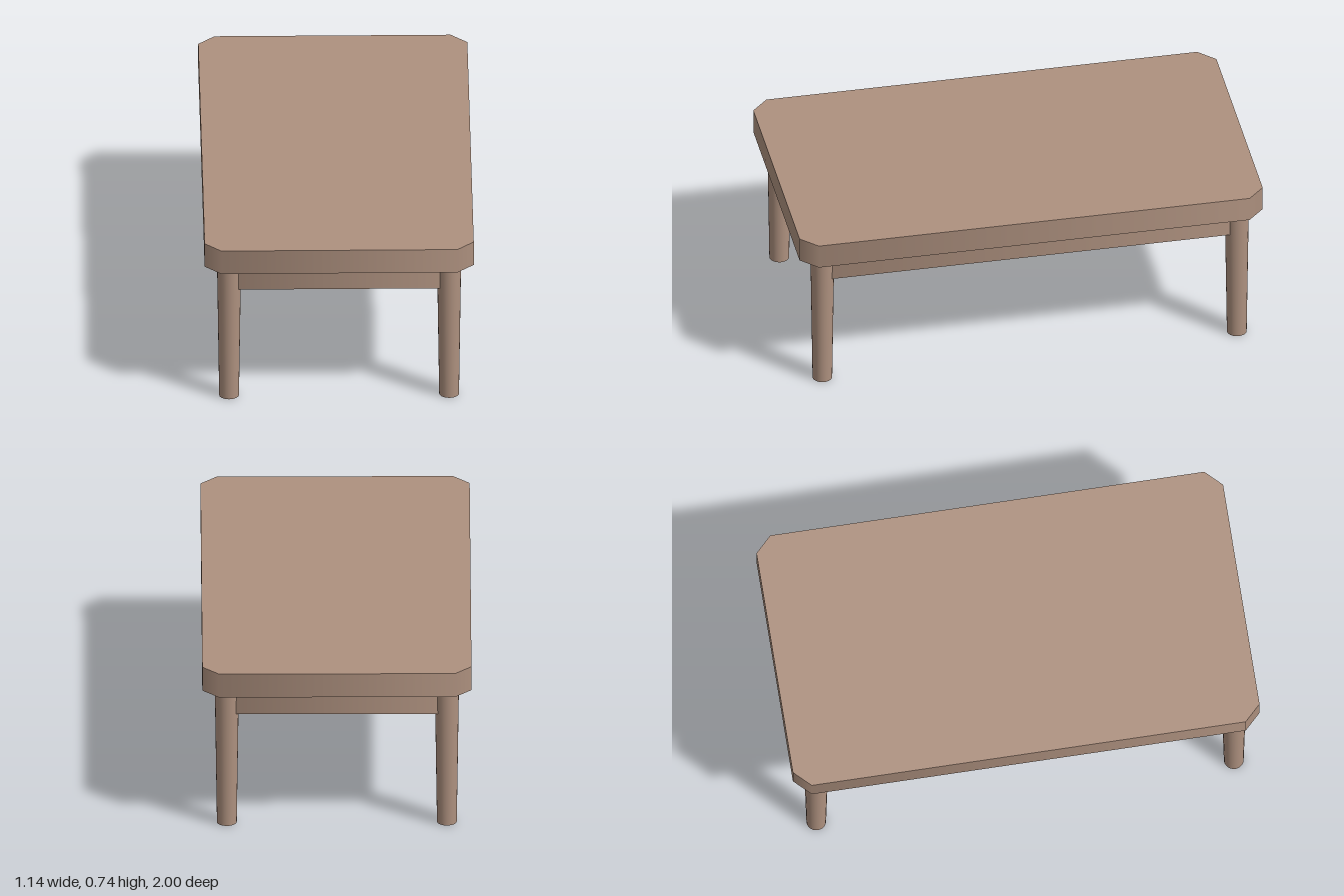
import * as THREE from 'three';

const wood = new THREE.MeshStandardMaterial({ color: 0xae917f });
wood.name = 'wood';

// Slab with clipped corners and softly shaded sides: an eight-sided
// cylinder whose corners are moved onto the rectangular outline.
function clippedSlab(name, halfX, halfZ, clip, y0, y1) {
  const geo = new THREE.CylinderGeometry(1, 1, y1 - y0, 8, 1, false, Math.PI / 8);
  const pos = geo.attributes.position;
  const place = (v, half) =>
    Math.abs(v) < 0.1 ? 0 : Math.sign(v) * (Math.abs(v) > 0.6 ? half : half - clip);
  for (let i = 0; i < pos.count; i++) {
    pos.setX(i, place(pos.getX(i), halfX));
    pos.setZ(i, place(pos.getZ(i), halfZ));
  }
  const mesh = new THREE.Mesh(geo, wood);
  mesh.name = name;
  mesh.position.y = (y0 + y1) / 2;
  return mesh;
}

export function createModel() {
  const table = new THREE.Group();
  table.name = 'coffeeTable';

  // Table top and the solid apron beneath it
  table.add(clippedSlab('tableTop', 0.57, 1, 0.07, 0.628, 0.737));
  table.add(clippedSlab('apron', 0.5, 0.925, 0.03, 0.515, 0.628));

  // Four round legs, tapering towards the floor
  const legHeight = 0.628;
  const legGeo = new THREE.CylinderGeometry(0.051, 0.042, legHeight, 24);
  for (const [side, x] of [['Left', 0.466], ['Right', -0.466]]) {
    for (const [end, z] of [['front', 0.895], ['back', -0.895]]) {
      const leg = new THREE.Mesh(legGeo, wood);
      leg.name = `${end}${side}Leg`;
      leg.position.set(x, legHeight / 2, z);
      table.add(leg);
    }
  }
  return table;
}
